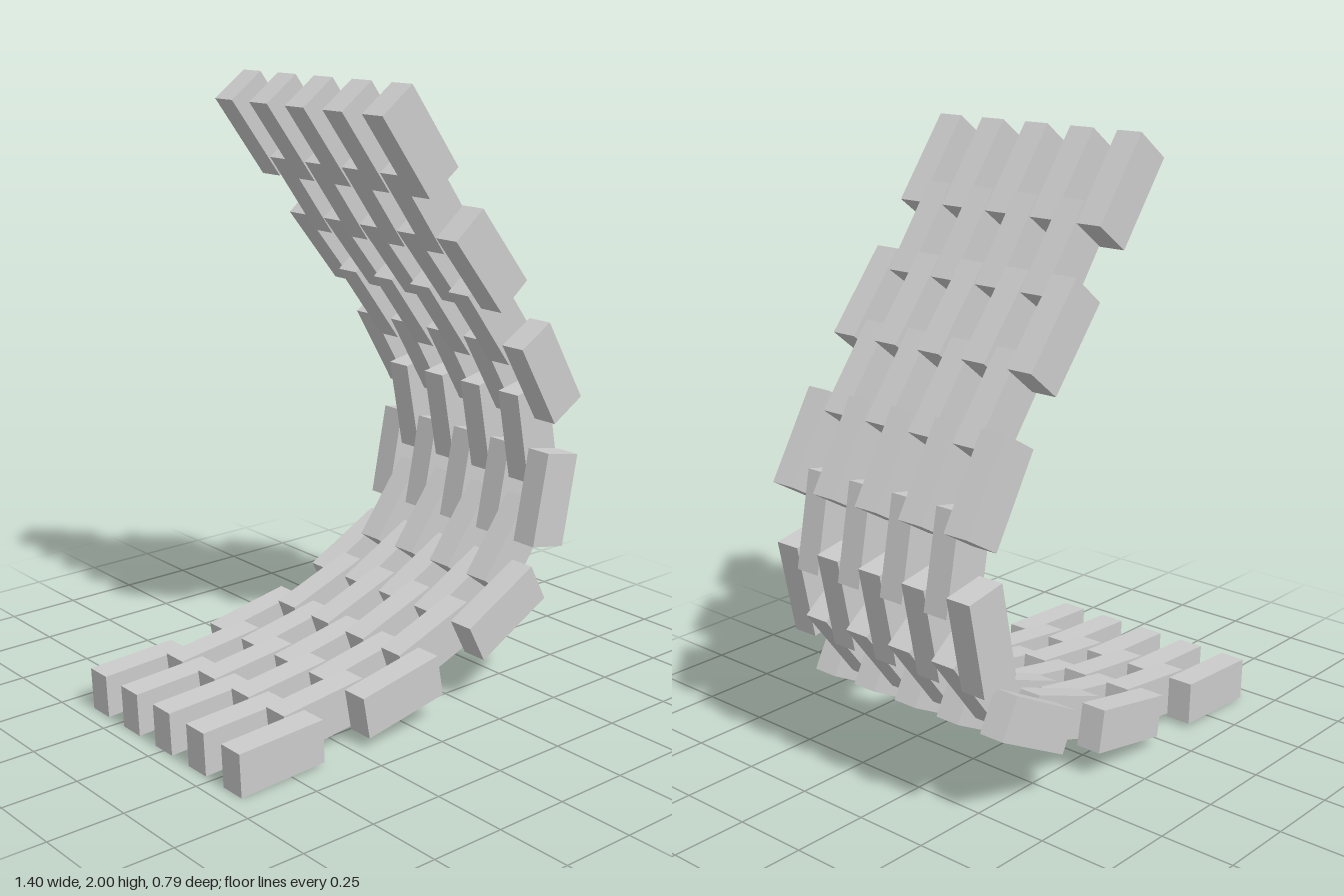
import * as THREE from 'three';

// Rows of slats along the curve, bottom to top: centre x, centre y, tilt in degrees
const ROWS = [
  [-0.541, 0.079, 2.6],
  [-0.305, 0.106, 6.5],
  [-0.065, 0.134, 10.5],
  [0.163, 0.212, 20],
  [0.384, 0.294, 27.8],
  [0.514, 0.465, 53],
  [0.591, 0.632, 79],
  [0.592, 0.844, 101],
  [0.557, 1.062, 120.7],
  [0.412, 1.256, 127.4],
  [0.277, 1.455, 129.2],
  [0.125, 1.645, 126],
  [-0.021, 1.833, 126.7],
];
const LENGTH = 0.31, THICKNESS = 0.14, WIDTH = 0.0878;

export function createModel() {
  const model = new THREE.Group();
  model.name = 'curvedSlatSeat';
  const material = new THREE.MeshStandardMaterial({ color: 0xcccccc, flatShading: true });
  const slatGeometry = new THREE.BoxGeometry(LENGTH, THICKNESS, WIDTH);

  ROWS.forEach(([x, y, degrees], i) => {
    const row = new THREE.Group();
    row.name = `slatRow${i + 1}`;
    row.position.set(x, y, 0);
    row.rotation.z = THREE.MathUtils.degToRad(degrees);

    // Five and four slats alternate, so neighbouring rows interlock like fingers
    const count = i % 2 === 0 ? 5 : 4;
    for (let k = 0; k < count; k++) {
      const slat = new THREE.Mesh(slatGeometry, material);
      slat.name = 'slat';
      slat.position.z = (k - (count - 1) / 2) * 2 * WIDTH;
      row.add(slat);
    }
    model.add(row);
  });
  return model;
}
